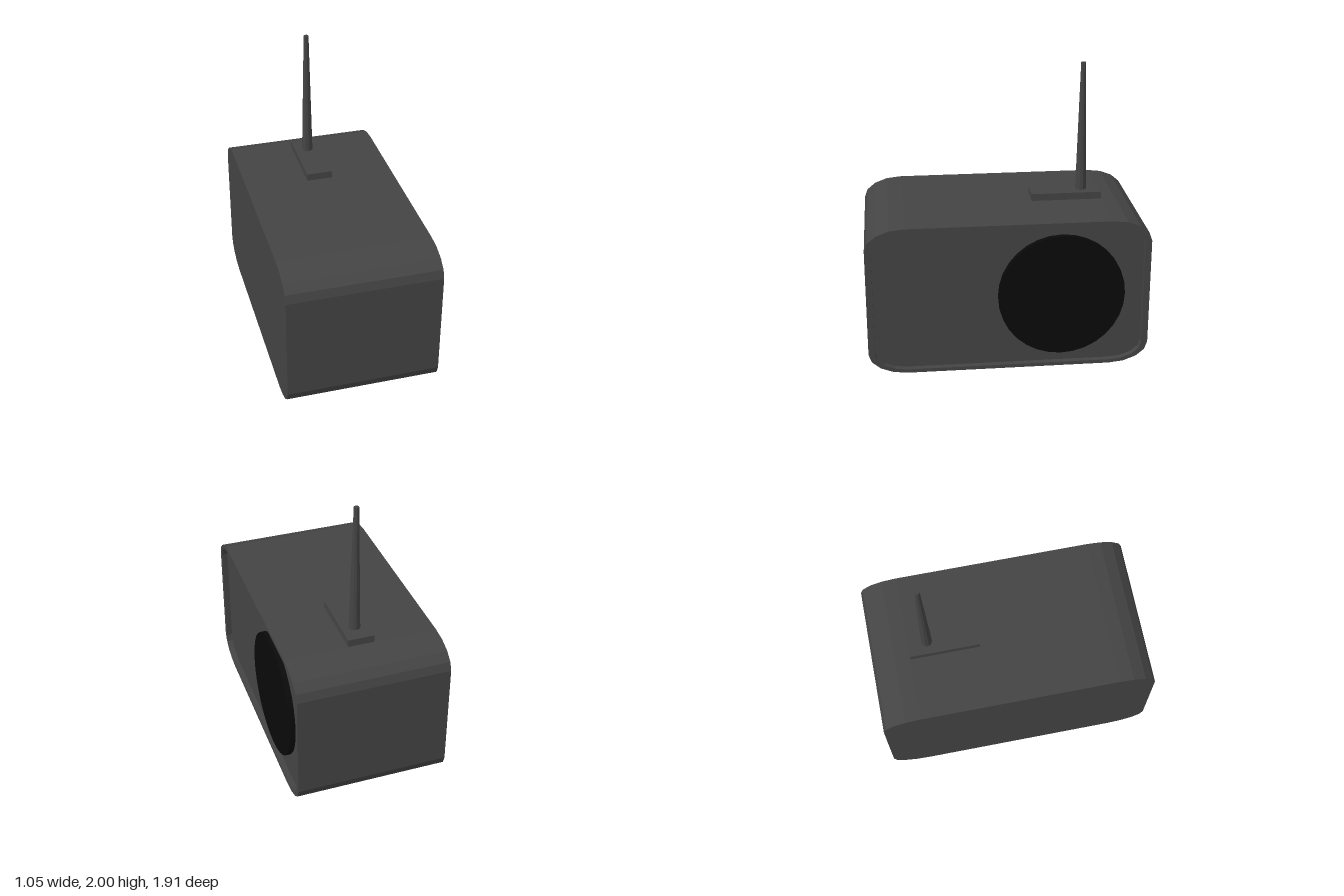
import * as THREE from 'three';

const grey = new THREE.MeshStandardMaterial({ color: 0x444444, flatShading: true });
const black = new THREE.MeshStandardMaterial({ color: 0x0a0a0a });

const MID_Y = 0.525;

// Rounded rectangle in the plane x, running anticlockwise as seen from +x
function ring(x, halfZ, halfY, rz, ry, steps = 4) {
  const points = [];
  for (let q = 0; q < 4; q++) {
    const sx = q === 0 || q === 3 ? 1 : -1;
    const sy = q < 2 ? 1 : -1;
    for (let i = 0; i <= steps; i++) {
      const a = (q + i / steps) * Math.PI / 2;
      const u = sx * (halfZ - rz) + rz * Math.cos(a);
      const v = sy * (halfY - ry) + ry * Math.sin(a);
      points.push(new THREE.Vector3(x, MID_Y + v, -u));
    }
  }
  return points;
}

// Skin a row of rings and close both ends with a fan
function loft(rings) {
  const out = [];
  const tri = (...corners) => corners.forEach((p) => out.push(p.x, p.y, p.z));
  const n = rings[0].length;
  const first = rings[0], last = rings[rings.length - 1];
  const startCentre = new THREE.Vector3(first[0].x, MID_Y, 0);
  const endCentre = new THREE.Vector3(last[0].x, MID_Y, 0);
  for (let i = 0; i < n; i++) {
    const j = (i + 1) % n;
    tri(startCentre, first[j], first[i]);
    for (let k = 0; k < rings.length - 1; k++) {
      const a = rings[k], b = rings[k + 1];
      tri(a[i], a[j], b[j]);
      tri(a[i], b[j], b[i]);
    }
    tri(endCentre, last[i], last[j]);
  }
  const geometry = new THREE.BufferGeometry();
  geometry.setAttribute('position', new THREE.Float32BufferAttribute(out, 3));
  geometry.computeVertexNormals();
  return geometry;
}

export function createModel() {
  const model = new THREE.Group();
  model.name = 'radio';
  const add = (name, geometry, material, x, y, z) => {
    const mesh = new THREE.Mesh(geometry, material);
    mesh.name = name;
    mesh.position.set(x, y, z);
    model.add(mesh);
    return mesh;
  };

  // Casing: plain on one side, thin rim around a sunken panel on the other
  add('casing', loft([
    ring(-0.525, 0.955, 0.525, 0.265, 0.15),
    ring(0.525, 0.955, 0.525, 0.265, 0.15),
    ring(0.525, 0.912, 0.5, 0.222, 0.125),
    ring(0.485, 0.912, 0.5, 0.222, 0.125),
  ]), grey, 0, 0, 0);

  // Round speaker standing slightly proud of the panel
  const speaker = add('speaker', new THREE.CylinderGeometry(0.43, 0.43, 0.04, 32), black, 0.502, MID_Y, -0.355);
  speaker.rotation.z = -Math.PI / 2;

  // Aerial on its mounting plate
  add('aerialBase', new THREE.BoxGeometry(0.18, 0.06, 0.485), grey, 0, 1.07, -0.4425);
  add('aerial', new THREE.CylinderGeometry(0.017, 0.038, 0.9, 10), grey, 0, 1.55, -0.555);

  return model;
}
